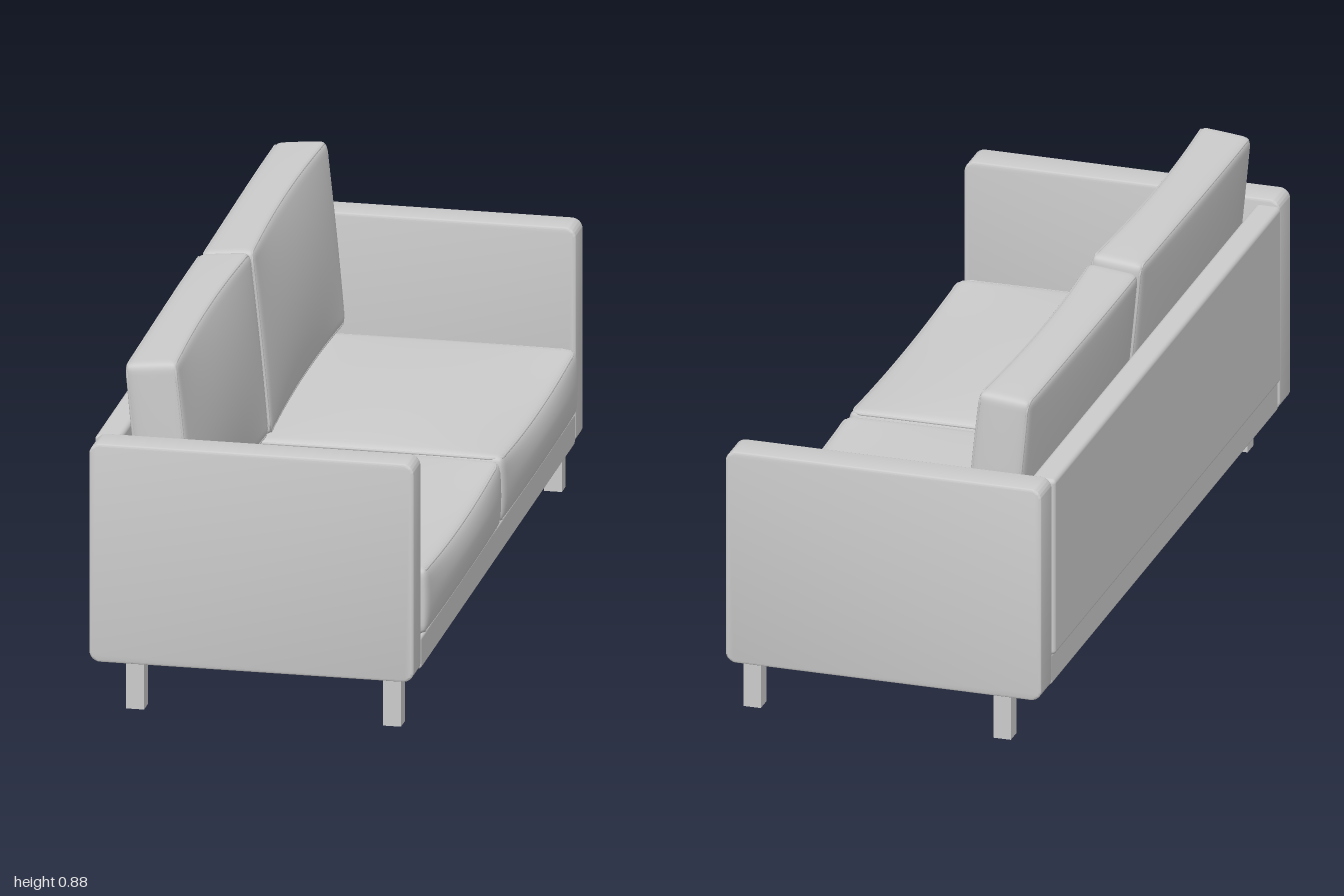
import * as THREE from 'three';
import { mergeVertices, toCreasedNormals } from 'three/addons/utils/BufferGeometryUtils.js';
import { RoundedBoxGeometry } from 'three/addons/geometries/RoundedBoxGeometry.js';

const material = new THREE.MeshStandardMaterial({ color: 0xcccccc });

function addMesh(parent, name, geometry, x = 0, y = 0, z = 0) {
  const mesh = new THREE.Mesh(geometry, material);
  mesh.name = name;
  mesh.position.set(x, y, z);
  parent.add(mesh);
  return mesh;
}

function roundedRect(hx, hy, r) {
  const s = new THREE.Shape();
  s.absarc(hx - r, hy - r, r, 0, Math.PI / 2);
  s.absarc(-hx + r, hy - r, r, Math.PI / 2, Math.PI);
  s.absarc(-hx + r, -hy + r, r, Math.PI, Math.PI * 1.5);
  s.absarc(hx - r, -hy + r, r, Math.PI * 1.5, Math.PI * 2);
  s.closePath();
  return s;
}

// Soft cushion lying flat (thickness along y) with piping round both faces
function makeCushion(name, { hx, hy, hz, r, crown, end, side, sag, ripple }) {
  const group = new THREE.Group();
  group.name = name;

  // Padding: domed faces, bulging borders, edges drooping at mid width
  const pad = (p) => {
    const u = p.x / hx, s = p.y / hy, v = p.z / hz;
    const mu = Math.max(0, 1 - u * u), ms = Math.max(0, 1 - s * s), mv = Math.max(0, 1 - v * v);
    p.x += u * end * ms * Math.sqrt(mv) + ripple * Math.sin(v * Math.PI / 2);
    p.y += s * crown * Math.sqrt(mu * mv) - (s > 0 ? s * sag * mv * u * u : 0);
    p.z += v * side * ms * mu;
    return p;
  };

  const geo = new THREE.BoxGeometry(2, 2, 2, 32, 12, 32);
  const pos = geo.attributes.position;
  const p = new THREE.Vector3(), core = new THREE.Vector3();
  const inner = new THREE.Vector3(hx - r, hy - r, hz - r);
  for (let i = 0; i < pos.count; i++) {
    p.fromBufferAttribute(pos, i);
    // Crowd the grid toward the edges, then round them
    p.set(hx * Math.sin(p.x * Math.PI / 2), hy * Math.sin(p.y * Math.PI / 2), hz * Math.sin(p.z * Math.PI / 2));
    core.copy(p).clamp(inner.clone().negate(), inner);
    p.sub(core).setLength(r).add(core);
    pad(p);
    pos.setXYZ(i, p.x, p.y, p.z);
  }
  geo.deleteAttribute('uv');
  geo.deleteAttribute('normal');
  const body = mergeVertices(geo, 1e-5);
  body.computeVertexNormals();
  addMesh(group, 'cushionBody', body);

  // Piping
  const inset = r * 0.3;
  const loop = roundedRect(hx - inset, hz - inset, r).getSpacedPoints(100).slice(0, -1);
  for (const s of [-1, 1]) {
    const points = loop.map((q) => pad(new THREE.Vector3(q.x, s * (hy - inset), q.y)));
    const curve = new THREE.CatmullRomCurve3(points, true);
    addMesh(group, 'piping', new THREE.TubeGeometry(curve, 160, 0.0035, 6, true));
  }
  return group;
}

export function createModel() {
  const sofa = new THREE.Group();
  sofa.name = 'sofa';

  // Armrests: rounded slabs with a fine softened edge
  const bevel = 0.006;
  const armGeometry = toCreasedNormals(new THREE.ExtrudeGeometry(roundedRect(0.4085 - bevel, 0.2825 - bevel, 0.022), {
    depth: 0.09 - 2 * bevel, bevelSize: bevel, bevelThickness: bevel, bevelSegments: 3, curveSegments: 8,
  }).translate(0, 0, -0.045 + bevel), 0.6);

  for (const side of [-1, 1]) {
    addMesh(sofa, side > 0 ? 'rightArmrest' : 'leftArmrest', armGeometry, -0.0085, 0.4075, side * 0.955);
    // Square legs
    for (const x of [-0.307, 0.34]) {
      addMesh(sofa, 'leg', new THREE.BoxGeometry(0.045, 0.13, 0.045), x, 0.065, side * 0.947);
    }
  }

  // Base frame and back panel between the armrests
  addMesh(sofa, 'base', new RoundedBoxGeometry(0.814, 0.083, 1.816, 3, 0.008), -0.007, 0.1725, 0);
  addMesh(sofa, 'backPanel', new RoundedBoxGeometry(0.065, 0.47, 1.812, 3, 0.012), -0.3905, 0.445, 0);

  // Seat and back cushions, a pair of each
  for (const z of [-0.451, 0.451]) {
    const seat = makeCushion('seatCushion', {
      hx: 0.372, hy: 0.085, hz: 0.444, r: 0.02, crown: 0.016, end: 0.018, side: 0.004, sag: 0.02, ripple: 0,
    });
    seat.position.set(0.036, 0.3, z);
    sofa.add(seat);

    const back = makeCushion('backCushion', {
      hx: 0.238, hy: 0.066, hz: 0.442, r: 0.018, crown: 0.012, end: 0.004, side: 0.005, sag: 0.018, ripple: 0.004,
    });
    back.position.set(-0.262, 0.637, z);
    back.rotation.z = -Math.PI / 2 + 0.1;
    sofa.add(back);
  }
  return sofa;
}
